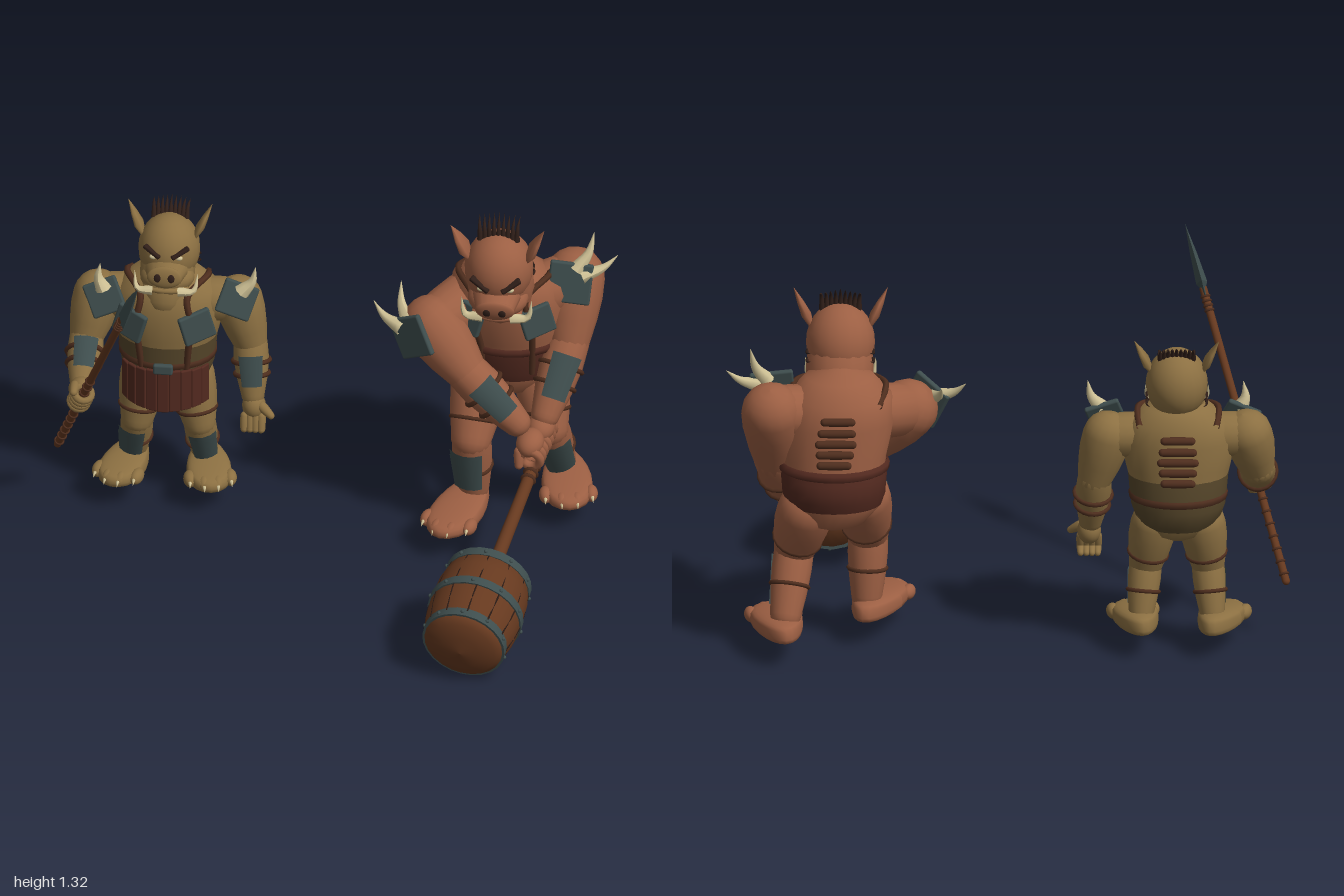
import * as THREE from 'three';
import { RoundedBoxGeometry } from 'three/addons/geometries/RoundedBoxGeometry.js';

const V = (x, y, z) => new THREE.Vector3(x, y, z);
const P = (a) => V(...a);
const mat = (color) => new THREE.MeshStandardMaterial({ color, side: THREE.DoubleSide });
const M = {
  olive: mat(0x8c7042), oliveDark: mat(0x56462a), red: mat(0x9c5f43), redDark: mat(0x52291f),
  iron: mat(0x3e4d4d), leather: mat(0x4f2e1e), wood: mat(0x66391f), bone: mat(0xcfc195), dark: mat(0x2f1e18),
};

function add(parent, name, geo, material, pos) {
  const m = new THREE.Mesh(geo, material);
  m.name = name;
  if (pos) m.position.copy(pos);
  parent.add(m);
  return m;
}
// Turn a mesh so that its local y follows `up` and its local z leans to `face`
function orient(m, up, face = V(0, 0, 1)) {
  const y = up.clone().normalize();
  if (Math.abs(y.dot(face.clone().normalize())) > 0.98) face = V(0, 1, 0);
  const x = y.clone().cross(face).normalize();
  m.quaternion.setFromRotationMatrix(new THREE.Matrix4().makeBasis(x, y, x.clone().cross(y)));
  return m;
}
function ball(parent, name, material, pos, sx, sy = sx, sz = sx) {
  const m = add(parent, name, new THREE.SphereGeometry(1, 20, 14), material, pos);
  m.scale.set(sx, sy, sz);
  return m;
}
// Round-ended tapering limb from a to b
function limb(parent, name, material, a, b, r1, r2, bulge = 1.08) {
  const d = b.clone().sub(a), L = d.length(), pts = [];
  for (let k = 0; k <= 5; k++) { const t = (k / 5 - 1) * Math.PI / 2; pts.push(new THREE.Vector2(r1 * Math.cos(t), r1 * Math.sin(t))); }
  for (const t of [0.3, 0.65]) pts.push(new THREE.Vector2((r1 + (r2 - r1) * t) * bulge, L * t));
  for (let k = 0; k <= 5; k++) { const t = (k / 5) * Math.PI / 2; pts.push(new THREE.Vector2(r2 * Math.cos(t), L + r2 * Math.sin(t))); }
  pts.forEach((p) => { p.x = Math.max(p.x, 0); });
  return orient(add(parent, name, new THREE.LatheGeometry(pts, 16), material, a), d);
}
// Curved horn: a tube whose rings shrink to a point
function horn(parent, name, material, pts, r) {
  const c = new THREE.CatmullRomCurve3(pts), n = 8, s = 8;
  const g = new THREE.TubeGeometry(c, n, r, s), p = g.attributes.position;
  for (let i = 0; i < p.count; i++) {
    const u = Math.floor(i / (s + 1)) / n, o = c.getPointAt(u);
    const v = V().fromBufferAttribute(p, i).sub(o).multiplyScalar(1 - 0.97 * u).add(o);
    p.setXYZ(i, v.x, v.y, v.z);
  }
  g.computeVertexNormals();
  return add(parent, name, g, material);
}
// Strap ring around a limb
function ring(parent, name, material, a, b, t, r, tube = 0.008) {
  const m = add(parent, name, new THREE.TorusGeometry(r, tube, 6, 18).rotateX(Math.PI / 2), material, a.clone().lerp(b, t));
  return orient(m, b.clone().sub(a));
}
// Curved armour plate hugging a limb on the side `face`
function shell(parent, name, a, b, r1, r2, face, arc) {
  const L = a.distanceTo(b);
  for (const [o, w] of [[0, arc], [0.008, arc * 0.8]])
    orient(add(parent, name, new THREE.CylinderGeometry(r2 + o, r1 + o, L - o * 2, 4, 1, true, -w / 2, w), M.iron, a.clone().lerp(b, 0.5)), b.clone().sub(a), face);
}
function plate(parent, name, pos, w, h, normal, tilt = 0) {
  const m = add(parent, name, new RoundedBoxGeometry(w, h, 0.022, 2, 0.008), M.iron, pos);
  m.lookAt(pos.clone().add(normal));
  m.rotateZ(tilt);
}
// Body from elliptical rings [y, cx, cz, rx, rz]
function loft(rings, n = 24) {
  const pos = [], idx = [];
  rings.forEach(([y, cx, cz, rx, rz], j) => {
    for (let i = 0; i < n; i++) {
      const a = (i / n) * 2 * Math.PI, k = (i + 1) % n;
      pos.push(cx + rx * Math.sin(a), y, cz + rz * Math.cos(a));
      if (j) idx.push((j - 1) * n + i, (j - 1) * n + k, j * n + k, (j - 1) * n + i, j * n + k, j * n + i);
    }
  });
  const g = new THREE.BufferGeometry();
  g.setAttribute('position', new THREE.Float32BufferAttribute(pos, 3));
  g.setIndex(idx);
  g.computeVertexNormals();
  return g;
}
function ringAt(rings, y, grow = 0) {
  let j = 1;
  while (j < rings.length - 1 && rings[j][0] < y) j++;
  const a = rings[j - 1], b = rings[j], t = (y - a[0]) / (b[0] - a[0]);
  return a.map((v, i) => v + (b[i] - v) * t + (i > 2 ? grow : 0));
}
function surf(rings, y, ang, out = 0) {
  const [, cx, cz, rx, rz] = ringAt(rings, y, out);
  return V(cx + rx * Math.sin(ang), y, cz + rz * Math.cos(ang));
}

function head(parent, skin, pos, tilt, s) {
  const h = new THREE.Group();
  h.name = 'head';
  h.position.copy(pos); h.rotation.x = tilt; h.scale.setScalar(s);
  parent.add(h);
  ball(h, 'skull', skin, V(0, 0.01, -0.005), 0.122, 0.143, 0.13);
  ball(h, 'jaw', skin, V(0, -0.085, 0.055), 0.108, 0.065, 0.085);
  const snout = add(h, 'snout', new THREE.CylinderGeometry(0.066, 0.085, 0.07, 18), skin, V(0, -0.045, 0.12));
  snout.rotation.x = Math.PI / 2; snout.scale.z = 0.7;
  ball(h, 'snoutTip', skin, V(0, -0.045, 0.153), 0.07, 0.047, 0.018);
  ball(h, 'lip', skin, V(0, -0.115, 0.1), 0.09, 0.022, 0.045);
  for (const k of [-1, 1]) {
    ball(h, 'nostril', M.dark, V(k * 0.027, -0.043, 0.168), 0.014, 0.018, 0.006);
    ball(h, 'eye', M.bone, V(k * 0.05, 0.02, 0.108), 0.016, 0.01, 0.01);
    const brow = add(h, 'brow', new RoundedBoxGeometry(0.08, 0.016, 0.025, 2, 0.006), M.dark, V(k * 0.055, 0.042, 0.107));
    brow.rotation.set(0, k * 0.45, k * 0.45);
    horn(h, 'tusk', M.bone, [V(k * 0.05, -0.12, 0.12), V(k * 0.11, -0.115, 0.12), V(k * 0.125, -0.05, 0.095)], 0.022);
    // Leaf-shaped ear, broad from the side and thin from the front
    const ear = add(h, 'ear', new THREE.LatheGeometry([[0.02, 0], [0.045, 0.05], [0.03, 0.1], [0, 0.16]].map((p) => new THREE.Vector2(...p)), 8), skin, V(k * 0.1, 0.06, 0));
    orient(ear, V(k * 0.42, 0.9, -0.15)).scale.x = 0.4;
    for (let i = 0; i < 2; i++)
      horn(h, 'cheekMark', M.dark, [V(k * 0.115, -0.02 - i * 0.03, -0.03), V(k * 0.118, -0.03 - i * 0.03, -0.05), V(k * 0.105, -0.03 - i * 0.03, -0.08)], 0.007);
  }
  // Bristle crest running across the crown
  for (let i = -4; i <= 4; i++)
    horn(h, 'crest', M.dark, [V(i * 0.016, 0.125, -0.03), V(i * 0.017, 0.175, -0.055), V(i * 0.018, 0.2 - Math.abs(i) * 0.005, -0.1)], 0.012);
}

function foot(parent, skin, heel, toe, w) {
  const d = toe.clone().sub(heel), L = d.length(), f = new THREE.Group();
  f.name = 'foot'; f.position.copy(heel); f.rotation.y = Math.atan2(d.x, d.z);
  parent.add(f);
  const g = new THREE.SphereGeometry(1, 20, 14), p = g.attributes.position;
  for (let i = 0; i < p.count; i++) {
    const z = p.getZ(i), y = p.getY(i), k = Math.sqrt(Math.abs(y)) * Math.sign(y);
    p.setXYZ(i, p.getX(i) * w * (0.95 + 0.2 * z), k * (y < 0 ? 0.03 : 0.046 - 0.014 * z), (z + 1) * L * 0.5);
  }
  g.computeVertexNormals();
  add(f, 'sole', g, skin, V(0, 0.03, 0));
  for (let i = -1.5; i <= 1.5; i++) {
    const z = L * (0.94 - 0.05 * i * i);
    ball(f, 'toe', skin, V(i * w * 0.57, 0.033, z - 0.025), 0.024, 0.027, 0.04);
    horn(f, 'claw', M.bone, [V(i * w * 0.57, 0.036, z - 0.005), V(i * w * 0.59, 0.036, z + 0.014), V(i * w * 0.6, 0.022, z + 0.024)], 0.012);
  }
}
// Fist wrapped round a shaft
function grip(parent, skin, c, axis, s, back) {
  const g = new THREE.Group();
  g.name = 'grippingHand'; g.position.copy(c); orient(g, axis, back); g.scale.setScalar(s);
  parent.add(g);
  ball(g, 'palm', skin, V(0, 0, 0.045), 0.045, 0.055, 0.042);
  for (let i = -1.5; i <= 1.5; i++)
    add(g, 'finger', new THREE.TorusGeometry(0.032, 0.0145, 8, 16).rotateX(Math.PI / 2), skin, V(0, i * 0.025, 0.008));
  limb(g, 'thumb', skin, V(0.03, 0.035, 0.04), V(0.04, 0.055, 0), 0.017, 0.014);
}
function openHand(parent, skin, c, k) {
  ball(parent, 'palm', skin, c, 0.042, 0.05, 0.045);
  for (let i = -1.5; i <= 1.5; i++) {
    const a = c.clone().add(V(k * i * 0.02, -0.03, 0.025)), b = a.clone().add(V(0, -0.045, 0.015));
    limb(parent, 'finger', skin, a, b, 0.015, 0.014);
    limb(parent, 'finger', skin, b, b.clone().add(V(0, -0.015, -0.035)), 0.014, 0.011);
  }
  limb(parent, 'thumb', skin, c.clone().add(V(k * 0.03, 0.01, 0.02)), c.clone().add(V(k * 0.065, -0.015, 0.04)), 0.018, 0.013);
}

function warrior(name, o) {
  const g = new THREE.Group(), { skin, rings, s } = o;
  g.name = name;
  add(g, 'torso', loft(rings), skin);
  const [w0, w1] = o.band;
  add(g, 'waistband', loft([0, 0.25, 0.5, 0.75, 1].map((t, i) => ringAt(rings, w0 + (w1 - w0) * t, i % 4 ? 0.009 : 0))), o.cloth);
  add(g, 'belt', loft([0, 0.008, 0.027, 0.035].map((t, i) => ringAt(rings, o.beltY + t, i % 3 ? 0.015 : 0.002))), o.belt);
  limb(g, 'neck', skin, surf(rings, o.chestY + 0.07, 0, -0.08), P(o.head), 0.1 * s, 0.1 * s);
  head(g, skin, P(o.head), o.tilt, o.headScale);
  // Back ridges
  for (let i = 0; i < 5; i++) {
    const y = o.chestY + 0.05 - i * 0.04, w = 0.06 - Math.abs(i - 2) * 0.006, c = surf(rings, y, Math.PI, 0.014);
    limb(g, 'backRidge', M.leather, c.clone().add(V(-w, 0, 0)), c.clone().add(V(w, 0, 0)), 0.014, 0.014);
  }
  for (const k of [-1, 1]) {
    // Shoulder straps and chest plates
    const y0 = w1 - 0.1, y1 = o.chestY + 0.09, f = k * 0.5;
    const path = [0, 0.33, 0.66, 1].map((t) => surf(rings, y0 + (y1 - y0) * t, f, 0.006));
    path.push(surf(rings, y1 + 0.03, k * 1.5, 0.01), surf(rings, y1 - 0.01, k * 2.3, 0.002));
    add(g, 'strap', new THREE.TubeGeometry(new THREE.CatmullRomCurve3(path), 40, 0.012, 6), M.leather);
    plate(g, 'chestPlate', surf(rings, o.plateY, k * 0.6, 0.012), 0.12, 0.115, V(k * 0.5, 0.1, 1), k * 0.25);
    // Arm
    const A = k < 0 ? o.armR : o.armL, [sh, el, wr] = A.joints.map(P), r = 0.09 * s;
    limb(g, 'shoulderMuscle', skin, surf(rings, o.chestY + 0.02, k * 1.57, -0.1), sh, 0.085 * s, r * 0.9);
    limb(g, 'upperArm', skin, sh, el, r * 1.08, r * 0.75);
    limb(g, 'forearm', skin, el, wr, r * 0.75, r * 0.52, 1.15);
    shell(g, 'bracer', el.clone().lerp(wr, 0.2), el.clone().lerp(wr, 0.8), r * 0.95, r * 0.78, P(A.bracer), 1.2);
    for (const t of [0.35, 0.6]) ring(g, 'armStrap', M.leather, el, wr, t, r * (0.9 - 0.28 * t), 0.009);
    const n = P(A.pad).normalize(), c = sh.clone().addScaledVector(n, r * 1.1).add(P(A.shift));
    plate(g, 'shoulderPlate', c, 0.14 * s, 0.14 * s, n, A.roll);
    for (const tip of A.spikes) {
      const t = P(tip), base = c.clone().lerp(t, 0.25);
      horn(g, 'shoulderSpike', M.bone, [base, base.clone().lerp(t, 0.5).add(V(k * 0.012, -0.008, 0)), t], 0.03);
    }
    // Leg
    const Lg = k < 0 ? o.legR : o.legL, [hip, kn, an] = Lg.joints.map(P);
    limb(g, 'thigh', skin, hip, kn, 0.092 * s, 0.066 * s);
    limb(g, 'shin', skin, kn, an, 0.064 * s, 0.05 * s);
    shell(g, 'shinGuard', kn.clone().lerp(an, 0.1), kn.clone().lerp(an, 0.85), 0.078 * s, 0.064 * s, V(k * 0.25, 0, 1), 1.6);
    ring(g, 'thighStrap', M.leather, hip, kn, 0.72, 0.076 * s);
    ring(g, 'shinStrap', M.leather, kn, an, 0.55, 0.061 * s);
    foot(g, skin, P(Lg.heel), P(Lg.toe), o.footW);
  }
  return g;
}

function spear(a, b) {
  const g = new THREE.Group(), at = (t) => a.clone().lerp(b, t), d = b.clone().sub(a);
  g.name = 'spear';
  limb(g, 'shaft', M.wood, a, at(0.82), 0.014, 0.014, 1);
  for (let i = 0; i < 16; i++) ring(g, 'wrap', M.leather, a, b, i < 12 ? 0.02 + i * 0.035 : 0.76 + (i - 12) * 0.013, 0.014, 0.005);
  const blade = new THREE.LatheGeometry([[0, 0], [0.022, 0], [0.028, 0.03], [0.058, 0.05], [0.035, 0.16], [0, 0.27]].map((p) => new THREE.Vector2(...p)), 4);
  const m = orient(add(g, 'blade', blade.toNonIndexed(), M.iron, at(0.8)), d, V(0, -0.52, 0.85));
  m.geometry.computeVertexNormals();
  m.scale.x = 0.35;
  return g;
}

function hammer(at) {
  const g = new THREE.Group(), a = at(0.7), b = at(0.255), d = b.clone().sub(a);
  g.name = 'barrelHammer';
  limb(g, 'handle', M.wood, at(0.28), at(-0.43), 0.025, 0.02, 1);
  for (let i = 0; i < 10; i++) ring(g, 'wrap', M.leather, at(-0.43), at(-0.15), i / 9, 0.021, 0.008);
  const barrel = new THREE.Group();
  barrel.name = 'barrel'; barrel.position.copy(a); orient(barrel, d);
  g.add(barrel);
  const prof = [[0, 0], [0.07, 0.008], [0.12, 0.025], [0.142, 0.045], [0.162, 0.13], [0.168, 0.21], [0.163, 0.3], [0.145, 0.385], [0.09, 0.44], [0, 0.462]];
  add(barrel, 'staves', new THREE.LatheGeometry(prof.map((p) => new THREE.Vector2(...p)), 24), M.wood);
  for (const [y, r] of [[0.065, 0.151], [0.205, 0.172], [0.365, 0.156]]) {
    add(barrel, 'hoop', new THREE.CylinderGeometry(r, r, 0.034, 24), M.iron, V(0, y, 0));
    for (let i = 0; i < 10; i++) ball(barrel, 'rivet', M.iron, V(r * Math.sin(i * 0.628), y, r * Math.cos(i * 0.628)), 0.007);
  }
  for (let i = 0; i < 12; i++) {
    const t = i * Math.PI / 6, p = (r, y) => V(r * Math.sin(t), y, r * Math.cos(t));
    add(barrel, 'seam', new THREE.TubeGeometry(new THREE.CatmullRomCurve3([p(0.15, 0.07), p(0.167, 0.2), p(0.15, 0.37)]), 8, 0.003, 4), M.dark);
  }
  return g;
}

export function createModel() {
  const root = new THREE.Group();
  // Smaller spear guard
  const x = -0.605;
  const guard = warrior('spearGuard', {
    skin: M.olive, cloth: M.oliveDark, belt: M.leather, s: 0.9, band: [0.44, 0.67], beltY: 0.575, chestY: 0.79, plateY: 0.77, footW: 0.083,
    rings: [[0.42, x, -0.48, 0.03, 0.03], [0.45, x, -0.48, 0.1, 0.09], [0.52, x, -0.48, 0.155, 0.125], [0.6, x, -0.48, 0.16, 0.13], [0.7, x, -0.47, 0.185, 0.14],
      [0.8, x, -0.47, 0.205, 0.145], [0.87, x, -0.47, 0.18, 0.13], [0.92, x, -0.47, 0.12, 0.1], [0.95, x, -0.47, 0.03, 0.03]],
    head: [-0.6, 1, -0.475], tilt: -0.1, headScale: 0.9,
    armR: { joints: [[-0.85, 0.81, -0.46], [-0.885, 0.66, -0.41], [-0.885, 0.565, -0.25]], bracer: [0.1, 0.8, 0.6], pad: [-0.1, 0.35, 0.9], shift: [0.04, 0, -0.01], roll: 0.45, spikes: [[-0.835, 0.98, -0.39]] },
    armL: { joints: [[-0.355, 0.81, -0.48], [-0.31, 0.64, -0.47], [-0.295, 0.46, -0.41]], bracer: [0.1, 0, 1], pad: [0.1, 0.35, 0.9], shift: [-0.005, 0.01, -0.01], roll: -0.35, spikes: [[-0.285, 0.99, -0.41]] },
    legR: { joints: [[-0.69, 0.48, -0.48], [-0.71, 0.31, -0.45], [-0.725, 0.15, -0.5]], heel: [-0.715, 0.08, -0.6], toe: [-0.79, 0.08, -0.31] },
    legL: { joints: [[-0.52, 0.48, -0.48], [-0.49, 0.31, -0.45], [-0.475, 0.15, -0.5]], heel: [-0.485, 0.08, -0.6], toe: [-0.43, 0.08, -0.31] },
  });
  plate(guard, 'buckle', V(x, 0.592, -0.328), 0.07, 0.04, V(0, 0, 1));
  for (let i = -4; i <= 4; i++) {
    const t = i * 0.25, strip = add(guard, 'kiltStrip', new RoundedBoxGeometry(0.042, 0.175 - Math.abs(i) * 0.006, 0.014, 2, 0.005), M.redDark, V(x + 0.165 * Math.sin(t), 0.5, -0.48 + 0.15 * Math.cos(t)));
    strip.rotation.y = t;
  }
  const a = V(-0.985, 0.22, -0.38), b = V(-0.625, 1.31, 0.285);
  grip(guard, M.olive, a.clone().lerp(b, 0.29), b.clone().sub(a), 0.95, V(-0.2, 0.3, -1));
  openHand(guard, M.olive, V(-0.29, 0.42, -0.4), 1);
  root.add(guard, spear(a, b));

  // Larger hammer brute, shoulders twisted towards the swing
  const at = (z) => V(0.645 - 0.172 * (z - 0.25), 0.245 - 0.237 * (z - 0.25), z);
  const brute = warrior('hammerBrute', {
    skin: M.red, cloth: M.redDark, belt: M.redDark, s: 1.1, band: [0.58, 0.72], beltY: 0.7, chestY: 0.88, plateY: 0.88, footW: 0.094,
    rings: [[0.48, 0.61, -0.54, 0.03, 0.03], [0.51, 0.61, -0.54, 0.11, 0.1], [0.58, 0.61, -0.54, 0.17, 0.135], [0.65, 0.61, -0.54, 0.175, 0.145], [0.75, 0.61, -0.52, 0.185, 0.155],
      [0.88, 0.6, -0.5, 0.205, 0.175], [0.97, 0.59, -0.49, 0.185, 0.165], [1.03, 0.59, -0.47, 0.12, 0.12], [1.06, 0.59, -0.45, 0.03, 0.03]],
    head: [0.588, 1.095, -0.335], tilt: 0.33, headScale: 1,
    armR: { joints: [[0.35, 0.85, -0.33], [0.48, 0.7, -0.27], [0.66, 0.52, -0.24]], bracer: [0.4, 0.3, 1], pad: [-0.55, 0, 0.8], shift: [0, 0, 0], roll: 0.5, spikes: [[0.145, 0.94, -0.32], [0.23, 0.96, -0.43]] },
    armL: { joints: [[0.83, 0.93, -0.575], [0.82, 0.72, -0.48], [0.755, 0.51, -0.32]], bracer: [0.1, 0.1, 1], pad: [0.05, 0.2, 1], shift: [-0.01, 0.02, 0], roll: -0.1, spikes: [[0.905, 1.15, -0.53], [0.99, 1.065, -0.52]] },
    legR: { joints: [[0.51, 0.57, -0.47], [0.49, 0.38, -0.34], [0.495, 0.16, -0.37]], heel: [0.51, 0.08, -0.48], toe: [0.4, 0.08, -0.105] },
    legL: { joints: [[0.71, 0.55, -0.55], [0.75, 0.37, -0.46], [0.78, 0.16, -0.57]], heel: [0.775, 0.08, -0.695], toe: [0.84, 0.08, -0.34] },
  });
  const axis = at(0).sub(at(-1));
  grip(brute, M.red, at(-0.31).add(V(0, 0.045, 0)), axis, 1.1, V(0.1, 1, -0.2));
  grip(brute, M.red, at(-0.23).add(V(0, 0.045, 0)), axis, 1.1, V(-0.3, 1, 0));
  root.add(brute, hammer(at));
  return root;
}
